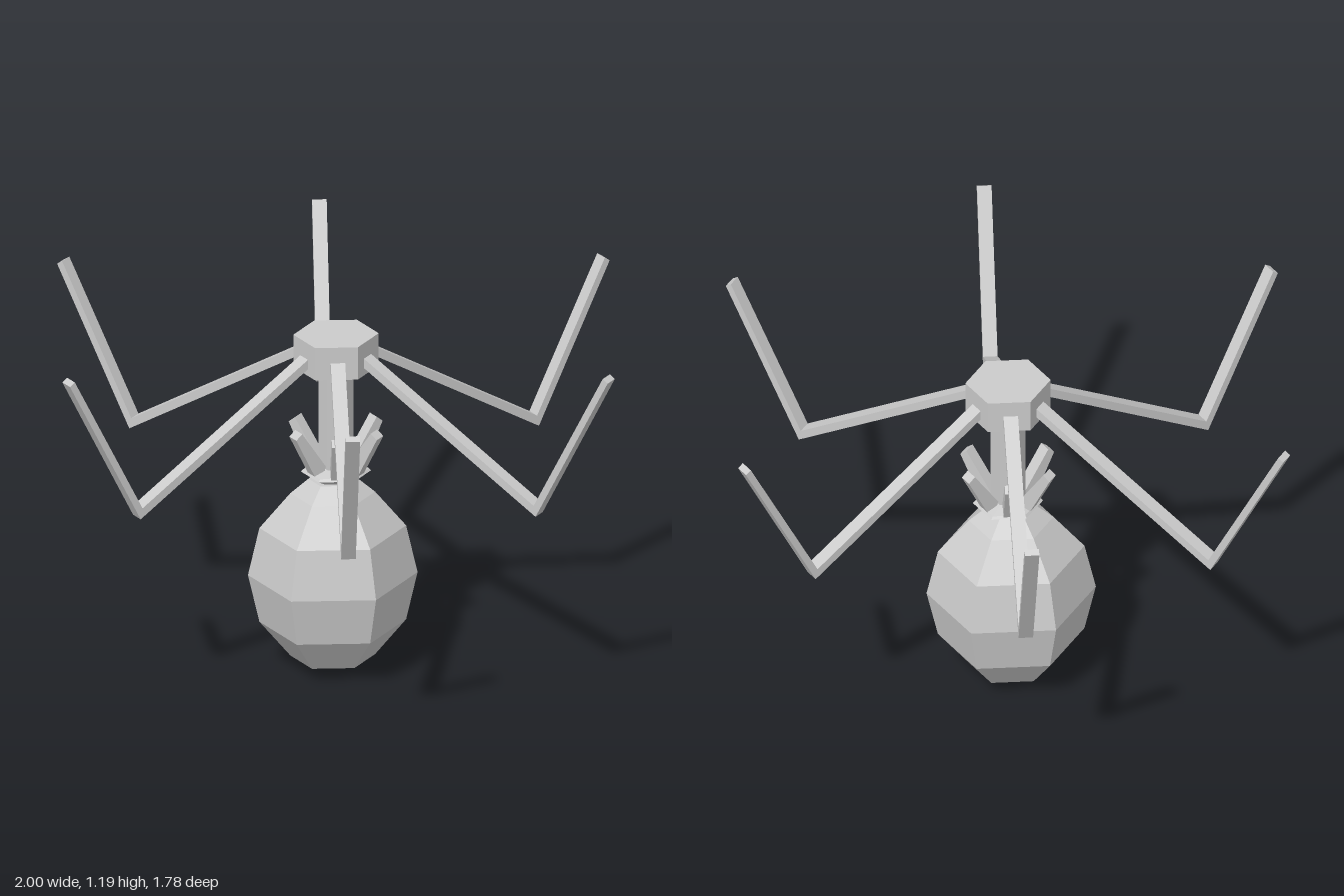
import * as THREE from 'three';

export function createModel() {
  const model = new THREE.Group();
  model.name = 'spiderLamp';
  const material = new THREE.MeshStandardMaterial({ color: 0xcccccc, flatShading: true });

  // Six-sided turned part with corners on the z axis; profile rows are [radius, y], bottom to top
  function hexPart(name, profile, x = 0) {
    const geometry = new THREE.LatheGeometry(profile.map(([r, y]) => new THREE.Vector2(r, y)), 6);
    const mesh = new THREE.Mesh(geometry, material);
    mesh.name = name;
    mesh.scale.x = 1.04;
    mesh.position.x = x;
    model.add(mesh);
  }

  // Flat bar cut from a side outline in the radial plane, centred on its width
  function barGeometry(outline, width) {
    const shape = new THREE.Shape(outline.map(([r, y]) => new THREE.Vector2(r, y)));
    const geometry = new THREE.ExtrudeGeometry(shape, { depth: width, bevelEnabled: false });
    return geometry.translate(0, 0, -width / 2);
  }

  // Bulbous body
  hexPart('body', [
    [0, 0], [0.13, 0.043], [0.225, 0.16], [0.26, 0.32],
    [0.225, 0.48], [0.13, 0.597], [0.075, 0.645], [0, 0.645],
  ], -0.012);

  // Collar, neck column and hub
  hexPart('collar', [[0, 0.642], [0.06, 0.642], [0.108, 0.668], [0.1, 0.676], [0.05, 0.69]]);
  hexPart('column', [[0.053, 0.65], [0.053, 1.03]]);
  hexPart('hub', [[0, 1.025], [0.131, 1.025], [0.131, 1.135], [0, 1.135]]);

  // Bent legs and short prongs, six of each around the column
  const legGeometry = barGeometry([
    [0.09, 1.065], [0.738, 0.67], [1, 1.178], [0.982, 1.19], [0.731, 0.706], [0.09, 1.097],
  ], 0.046);
  const prongGeometry = barGeometry([
    [0.06, 0.672], [0.09, 0.672], [0.16, 0.812], [0.138, 0.83], [0.05, 0.7],
  ], 0.042);
  const spread = THREE.MathUtils.degToRad(61.4);
  for (const angle of [0, spread, Math.PI - spread, Math.PI, Math.PI + spread, -spread]) {
    for (const [name, geometry] of [['leg', legGeometry], ['prong', prongGeometry]]) {
      const mesh = new THREE.Mesh(geometry, material);
      mesh.name = name;
      mesh.rotation.y = angle;
      model.add(mesh);
    }
  }
  return model;
}
